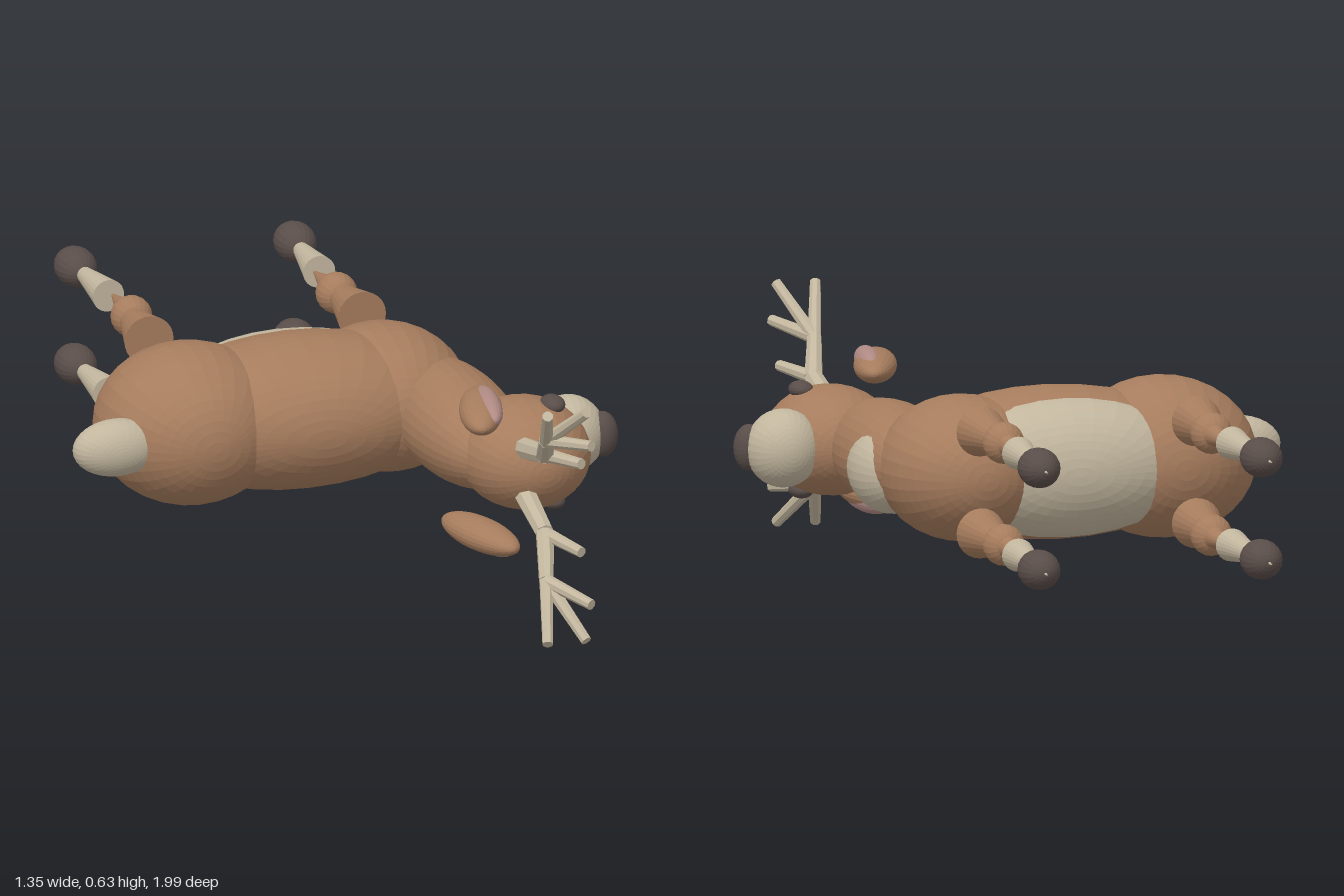
import * as THREE from 'three';

const MID = 0.325; // height of the plane of symmetry: the animal lies on its side

export function createModel() {
  const model = new THREE.Group();
  model.name = 'deer';
  const paint = (name, color) => {
    const m = new THREE.MeshStandardMaterial({ color, flatShading: true });
    m.name = name;
    return m;
  };
  const brown = paint('brown fur', 0xa67c5d);
  const cream = paint('cream fur', 0xc2b69e);
  const dark = paint('dark horn', 0x594d49);
  const pink = paint('pink skin', 0xb08a84);

  const add = (name, geometry, material) => {
    const mesh = new THREE.Mesh(geometry, material);
    mesh.name = name;
    model.add(mesh);
    return mesh;
  };
  // Ellipsoid at (x, side offset, z) with three radii, turned about y
  const blob = (name, mat, [x, s, z], [rx, ry, rz], turn = 0, seg = 32) => {
    const g = new THREE.SphereGeometry(1, seg, seg * 0.75);
    g.rotateX(Math.PI / 2).scale(rx, ry, rz).rotateY(turn);
    const mesh = add(name, g, mat);
    mesh.position.set(x, MID + s, z);
    return mesh;
  };
  // Tapered rod from point a to point b
  const rod = (name, mat, a, b, ra, rb, sides) => {
    const p = new THREE.Vector3(a[0], MID + a[1], a[2]);
    const q = new THREE.Vector3(b[0], MID + b[1], b[2]);
    const dir = q.clone().sub(p);
    const mesh = add(name, new THREE.CylinderGeometry(rb, ra, dir.length(), sides), mat);
    mesh.position.copy(p).add(q).multiplyScalar(0.5);
    mesh.quaternion.setFromUnitVectors(new THREE.Vector3(0, 1, 0), dir.normalize());
    return mesh;
  };

  // Body
  blob('rump', brown, [-0.33, 0, -0.068], [0.242, 0.205, 0.239]);
  blob('barrel', brown, [-0.04, 0, -0.075], [0.42, 0.194, 0.244]);
  blob('chest', brown, [0.2, 0, -0.1], [0.215, 0.185, 0.24]);
  blob('belly', cream, [-0.045, 0, -0.16], [0.35, 0.178, 0.167]);
  blob('tail', cream, [-0.56, 0, 0.05], [0.115, 0.074, 0.066]);

  // Neck and head
  blob('neck', brown, [0.31, 0, 0.14], [0.142, 0.133, 0.36]);
  blob('throat', cream, [0.35, -0.015, 0.03], [0.107, 0.115, 0.15]);
  blob('head', brown, [0.4, 0, 0.405], [0.168, 0.14, 0.188]);
  blob('muzzle', cream, [0.55, 0, 0.312], [0.095, 0.1, 0.092]);
  blob('nose', dark, [0.63, 0, 0.343], [0.04, 0.06, 0.042], 0, 24);

  // Paired parts
  for (const s of [1, -1]) {
    blob('eye', dark, [0.47, s * 0.128, 0.427], [0.031, 0.022, 0.043], 0, 20);

    // Ears with pink linings
    const tilt = -s * 0.3;
    blob('ear', brown, [0.25, s * 0.165, 0.515], [0.055, 0.04, 0.152], tilt, 24);
    blob('earLining', pink, [0.268, s * 0.177, 0.52], [0.032, 0.034, 0.12], -s * 0.16, 20);

    // Antler: a bent beam with four tines
    const base = [0.358, s * 0.06, 0.54];
    const bend = [0.352, s * 0.105, 0.72];
    const fork = [0.315, s * 0.187, 0.84];
    rod('antlerBase', cream, base, bend, 0.029, 0.024, 8);
    rod('antlerBeam', cream, bend, fork, 0.024, 0.019, 8);
    const tines = [
      [fork, [0.272, s * 0.305, 0.98]],
      [fork, [0.373, s * 0.305, 0.985]],
      [fork, [0.388, s * 0.212, 0.98]],
      [bend, [0.405, s * 0.118, 0.85]],
    ];
    for (const [from, to] of tines) rod('antlerTine', cream, from, to, 0.018, 0.014, 8);

    // Legs: three cones, a knee ball and a hoof
    for (const [name, hip, knee, ankle, toe] of [
      ['rear', -0.345, -0.33, -0.325, -0.35],
      ['front', 0.22, 0.214, 0.21, 0.238],
    ]) {
      const y = s * 0.13;
      const shift = name === 'rear' ? -0.012 : 0.012;
      rod(name + 'Thigh', brown, [hip, y, -0.335], [knee, y, -0.64], 0.064, 0.002, 24);
      blob(name + 'Knee', brown, [knee, y, -0.52], [0.053, 0.053, 0.053], 0, 20);
      rod(name + 'Shin', brown, [knee, y, -0.5], [ankle, y, -0.69], 0.042, 0.002, 24);
      rod(name + 'Foot', cream, [ankle + shift, y, -0.68], [toe, y, -1], 0.042, 0.001, 24);
      blob(name + 'Hoof', dark, [toe - shift * 0.25, y, -0.912], [0.053, 0.051, 0.069], 0, 20);
    }
  }
  return model;
}
